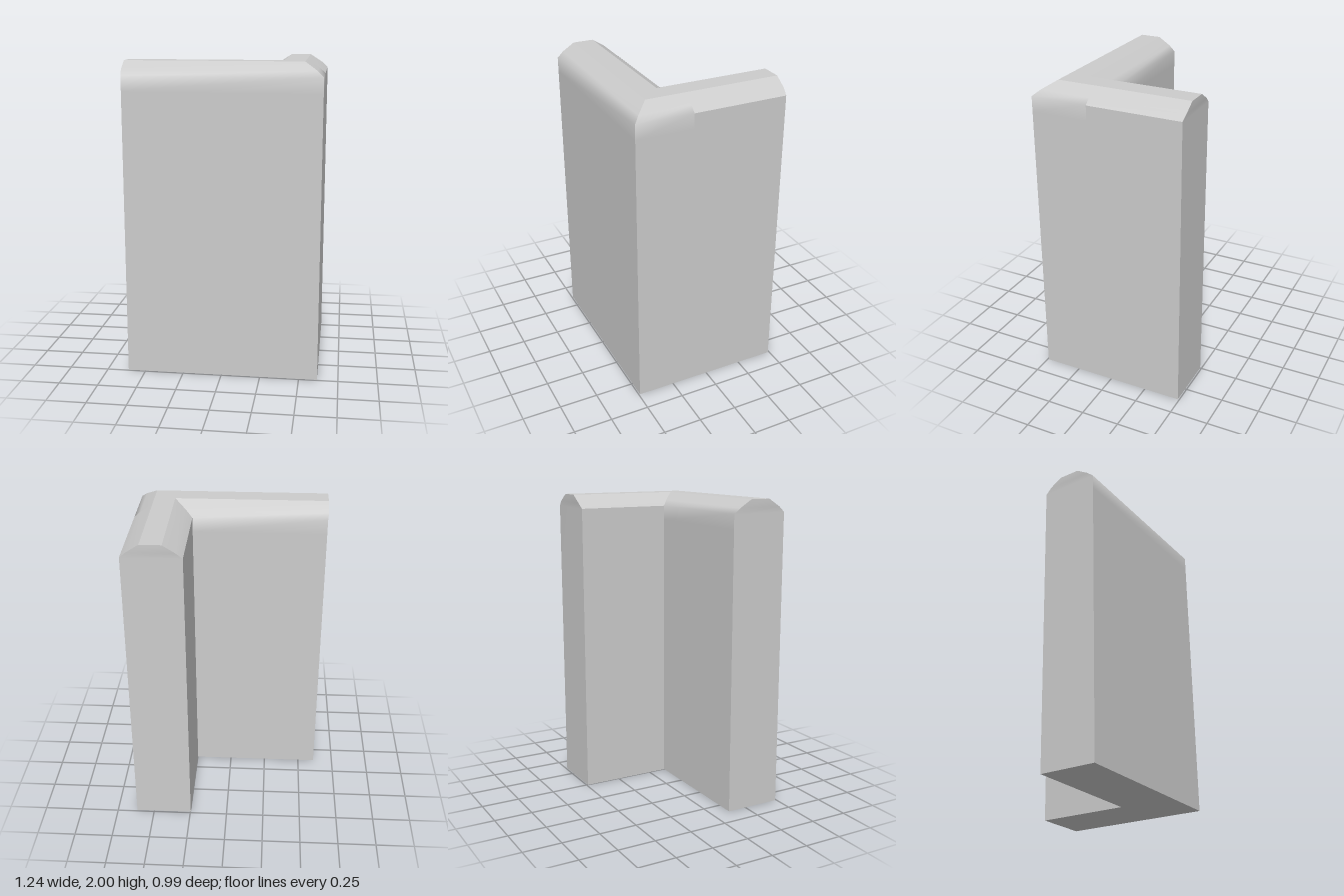
import * as THREE from 'three';
import { mergeGeometries } from 'three/addons/utils/BufferGeometryUtils.js';

const T = 0.37;                       // wall thickness
const X = 0.617, Z = 0.492;           // half width and half depth
const flare = (y) => (y > 1.93 ? 0.006 : 0);

// Wall stations: each places a profile point [inset from outer face, height]
const leftEnd = ([t, y]) => [-X + 0.004 - flare(y), y, Z - t];
const corner = ([t, y]) => [X - t, y, Z - t];
const joint = ([t, y]) => [X - t, y, Z - T];
const backEnd = ([t, y]) => [X - t, y, -Z + 0.002 - flare(y)];

// Profile points, outer side; the inner side mirrors them
const foot = [0, 0], low = [0, 1.82], edge = [0, 1.915], bend = [0.04, 1.95], crest = [0.118, 2];
const mirror = ([t, y]) => [T - t, y];
const inner = (points) => points.map(mirror).reverse();

// Grid of quads through the given stations; normals are smooth within a strip
function strip(points, stations) {
  const pos = [], index = [], n = stations.length;
  for (const p of points) for (const s of stations) pos.push(...s(p));
  for (let i = 0; i < points.length - 1; i++) {
    for (let j = 0; j < n - 1; j++) {
      const a = i * n + j, b = a + 1, c = b + n, d = a + n;
      index.push(a, b, c, a, c, d);
    }
  }
  const g = new THREE.BufferGeometry();
  g.setAttribute('position', new THREE.Float32BufferAttribute(pos, 3));
  g.setIndex(index);
  g.computeVertexNormals();
  return g;
}

// End cap: rows running between the outer and inner sides
function cap(station, flip) {
  const side = [foot, edge, bend, crest];
  const outerSide = (p) => station(p);
  const innerSide = (p) => station(mirror(p));
  return strip(side, flip ? [innerSide, outerSide] : [outerSide, innerSide]);
}

export function createModel() {
  const group = new THREE.Group();
  const material = new THREE.MeshStandardMaterial({ color: 0xcccccc });
  const add = (name, parts) => {
    const mesh = new THREE.Mesh(mergeGeometries(parts), material);
    mesh.name = name;
    group.add(mesh);
  };

  const top = [crest, mirror(crest)];
  const base = [mirror(foot), foot];
  const softEdge = [low, edge, bend, crest];
  const slope = [edge, bend, crest];

  // Front wing with softly rounded top edges
  const front = [leftEnd, corner];
  add('frontWall', [
    strip([foot, low], front),
    strip(softEdge, front),
    strip(top, front),
    strip(inner(softEdge), front),
    strip(inner([foot, low]), front),
    strip(base, front),
    cap(leftEnd, true),
  ]);

  // Side wing: soft edge beside the corner, crisp bevel behind it
  const side = [corner, backEnd], rear = [joint, backEnd];
  add('sideWall', [
    strip([foot, low], [corner, joint]),
    strip(softEdge, [corner, joint]),
    strip([foot, edge], rear),
    strip(slope, rear),
    strip(top, side),
    strip(inner(slope), side),
    strip(inner([foot, edge]), side),
    strip(base, side),
    cap(backEnd, false),
  ]);

  return group;
}
